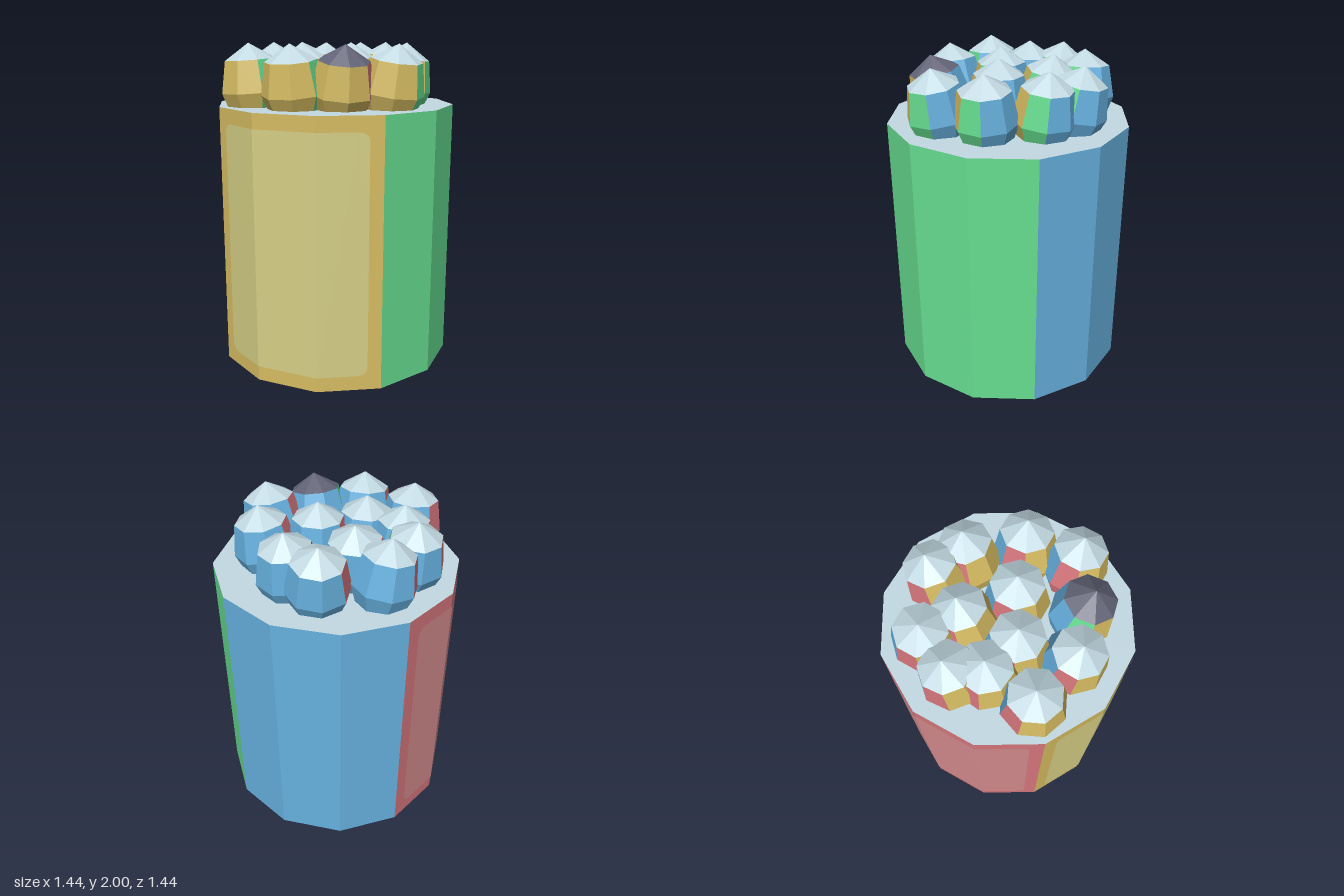
import * as THREE from 'three';

const mat = (name, color) => {
  const m = new THREE.MeshStandardMaterial({ color });
  m.name = name;
  return m;
};

export function createModel() {
  const yellow = mat('yellow', 0xd6bc62);
  const green = mat('green', 0x66dd90);
  const blue = mat('blue', 0x66b0de);
  const red = mat('red', 0xd2757a);
  const yellowPanel = mat('pale yellow', 0xd6cf86);
  const redPanel = mat('pale red', 0xcf888b);
  const pale = mat('pale blue grey', 0xc2d9e2);
  const darkTip = mat('dark grey', 0x626376);
  const underside = mat('slate', 0x5a6274);

  const model = new THREE.Group();
  model.name = 'gemDrum';
  const rad = THREE.MathUtils.degToRad;

  const add = (parent, name, geometry, material) => {
    const mesh = new THREE.Mesh(geometry, material);
    mesh.name = name;
    parent.add(mesh);
    return mesh;
  };
  // Faceted geometry: one normal per face
  const faceted = (g) => {
    const flat = g.toNonIndexed();
    flat.computeVertexNormals();
    return flat;
  };
  // Part of a prism, turned from a [radius, y] profile; angles run from +z to +x
  const band = (profile, segments, centre, width) => faceted(new THREE.LatheGeometry(
    profile.map(([r, y]) => new THREE.Vector2(r, y)), segments, rad(centre - width / 2), rad(width)));

  // Twelve-sided drum, three faces of each colour
  const R = 0.741, H = 1.62;
  [['Front', yellow], ['Left', green], ['Back', blue], ['Right', red]].forEach(([side, m], i) =>
    add(model, 'drum' + side, band([[R, 0], [R, H]], 3, i * 90, 90), m));
  const disc = new THREE.CircleGeometry(R, 12, rad(15));
  const top = add(model, 'drumTop', disc, pale);
  top.rotation.x = -Math.PI / 2;
  top.position.y = H;
  add(model, 'drumBottom', disc, underside).rotation.x = Math.PI / 2;

  // Rounded panel folded over three drum faces
  const half = 0.455, corner = 0.05, low = 0.09, high = 1.53;
  const side = [half, 0.45, 0.44, 0.425, half - corner, 0.192];
  const columns = [...side.map((x) => -x), ...side.reverse()];
  const panel = new THREE.PlaneGeometry(1, 1, columns.length - 1, 1);
  const p = panel.attributes.position;
  for (let i = 0; i < p.count; i++) {
    const x = columns[i % columns.length], ax = Math.abs(x);
    const t = Math.max(0, ax - (half - corner));
    const inset = corner - Math.sqrt(Math.max(0, corner * corner - t * t));
    const z = 0.716 - Math.max(0, ax - 0.192) * 0.577 + 0.004;
    p.setXYZ(i, x, i < columns.length ? high - inset : low + inset, z);
  }
  const panelGeometry = faceted(panel);
  add(model, 'frontPanel', panelGeometry, yellowPanel);
  add(model, 'rightPanel', panelGeometry, redPanel).rotation.y = -Math.PI / 2;

  // Eight-sided gems: shared bands and tip
  const profile = [[0.135, -0.14], [0.158, -0.08], [0.19, 0.01], [0.153, 0.2]];
  const wide = band(profile, 3, 0, 135);
  const wideBack = band(profile, 3, 180, 135);
  const narrowLeft = band(profile, 1, 90, 45);
  const narrowRight = band(profile, 1, 270, 45);
  const tip = faceted(new THREE.ConeGeometry(0.153, 0.095, 8, 1, true, rad(22.5)));
  tip.translate(0, 0.2475, 0);

  // Body centre x, z; tip x, z; turn; last one has swapped sides and a dark tip
  const gems = [
    [0.00, -0.45, -0.02, -0.50, 0],
    [0.19, -0.36, 0.20, -0.395, 0.2],
    [-0.345, -0.33, -0.38, -0.315, 0],
    [-0.155, -0.18, -0.155, -0.225, 0],
    [-0.46, -0.08, -0.49, -0.11, 0.05],
    [-0.37, 0.08, -0.385, 0.08, -0.1],
    [-0.145, 0.14, -0.15, 0.15, 0],
    [0.11, 0.00, 0.11, 0.00, 0],
    [0.40, -0.105, 0.435, -0.115, 0.05],
    [0.445, 0.19, 0.49, 0.205, 0],
    [-0.38, 0.37, -0.395, 0.385, -0.35],
    [-0.065, 0.445, -0.07, 0.485, 0],
    [0.20, 0.355, 0.24, 0.40, 0.2],
  ];
  const up = new THREE.Vector3(0, 1, 0);
  gems.forEach(([x, z, tx, tz, turn], i) => {
    const odd = i === gems.length - 1;
    const gem = new THREE.Group();
    gem.name = 'gem' + (i + 1);
    add(gem, 'gemFront', wide, yellow);
    add(gem, 'gemBack', wideBack, blue);
    add(gem, 'gemLeft', narrowLeft, odd ? red : green);
    add(gem, 'gemRight', narrowRight, odd ? green : red);
    add(gem, 'gemTip', tip, odd ? darkTip : pale);
    gem.position.set(x, 1.7, z);
    const axis = new THREE.Vector3(tx - x, 0.295, tz - z).normalize();
    gem.quaternion.setFromUnitVectors(up, axis)
      .multiply(new THREE.Quaternion().setFromAxisAngle(up, turn));
    model.add(gem);
  });

  return model;
}
